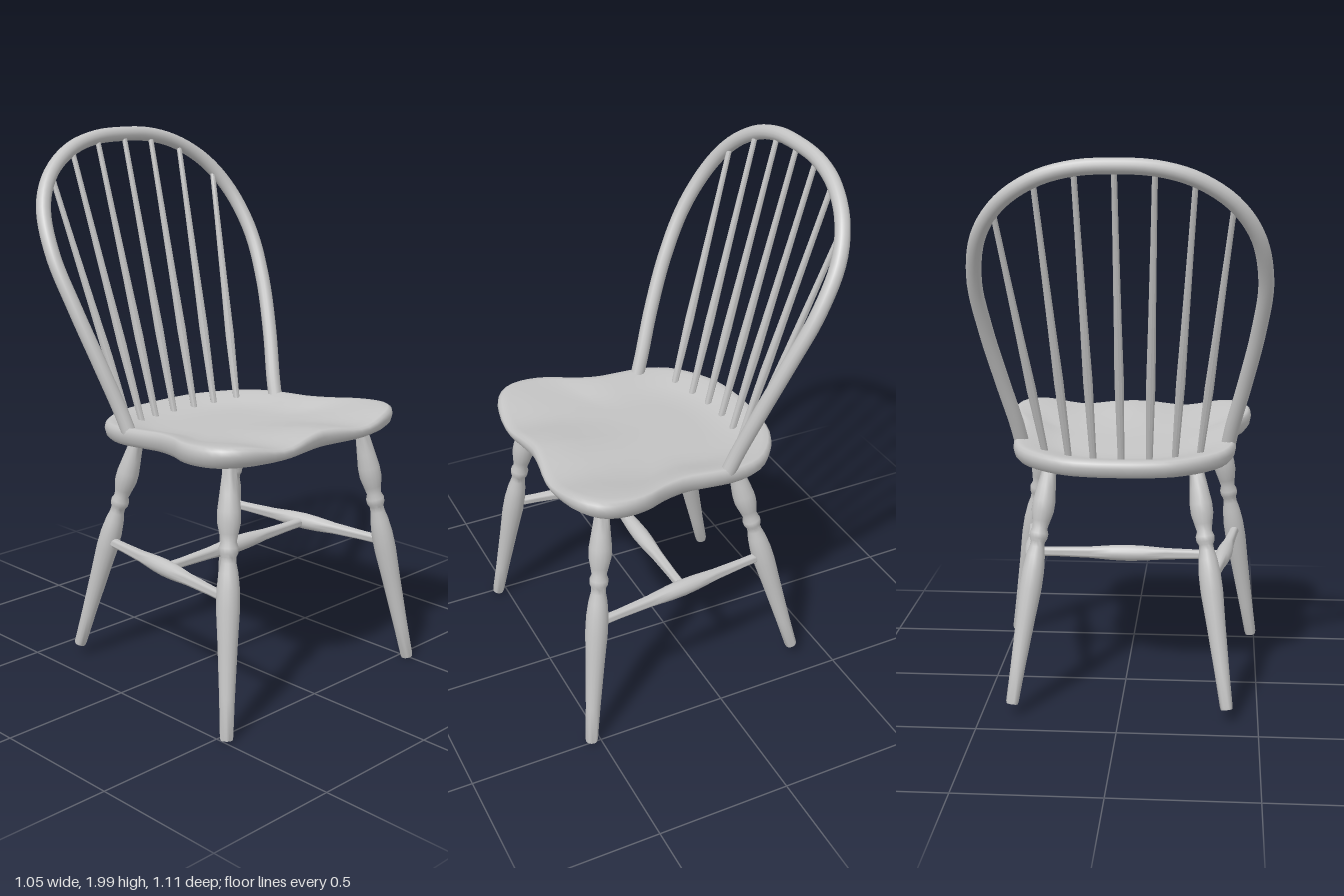
import * as THREE from 'three';
import { toCreasedNormals } from 'three/addons/utils/BufferGeometryUtils.js';

const wood = new THREE.MeshStandardMaterial({ color: 0xc4c4c4 });
wood.name = 'paintedWood';

const V = (x, y, z) => new THREE.Vector3(x, y, z);
const smooth = THREE.MathUtils.smoothstep;
const UP = V(0, 1, 0);

// Turned part between two points; profile holds [fraction along, radius]
function turned(name, from, to, profile, sides = 16) {
  const dir = to.clone().sub(from);
  const len = dir.length();
  const pts = profile.map(([t, r]) => new THREE.Vector2(r, t * len));
  pts.unshift(new THREE.Vector2(0, 0));
  pts.push(new THREE.Vector2(0, len));
  const mesh = new THREE.Mesh(toCreasedNormals(new THREE.LatheGeometry(pts, sides), 0.9), wood);
  mesh.quaternion.setFromUnitVectors(UP, dir.normalize());
  mesh.position.copy(from);
  mesh.name = name;
  return mesh;
}

// Half of the shield-shaped seat outline, back centre to front centre: [x, z]
const HALF = [
  [0, -0.37], [0.1, -0.366], [0.2, -0.347], [0.3, -0.29], [0.375, -0.21], [0.407, -0.11],
  [0.406, 0], [0.402, 0.1], [0.425, 0.2], [0.458, 0.28], [0.47, 0.37], [0.452, 0.45],
  [0.39, 0.51], [0.29, 0.54], [0.18, 0.547], [0.08, 0.533], [0, 0.524],
];

// Saddle surface: raised rim, dished middle, two thigh hollows and a pommel at the front
function seatTop(x, z, s) {
  const front = smooth(z, 0.1, 0.5);
  const hollow = 0.038 * Math.exp(-(((Math.abs(x) - 0.2) / 0.13) ** 2)) + 0.012 * Math.exp(-((x / 0.1) ** 2));
  const dish = 0.04 * (1 - smooth(s, 0.55, 1));
  return 0.983 + 0.078 * z - THREE.MathUtils.lerp(dish, hollow, front);
}

function seat() {
  const outline = HALF.concat(HALF.slice(1, -1).reverse().map(([x, z]) => [-x, z]));
  const curve = new THREE.CatmullRomCurve3(outline.map(([x, z]) => V(x, 0, z)), true);
  const n = 80, zc = 0.06;
  const edge = curve.getPoints(n).slice(0, n);
  // [scale of outline, height between underside 0 and top 1]
  const rings = [[0, 1], [0.15, 1], [0.3, 1], [0.45, 1], [0.6, 1], [0.72, 1], [0.83, 1], [0.92, 1], [0.97, 0.98],
    [0.992, 0.86], [1, 0.62], [0.988, 0.3], [0.955, 0.08], [0.9, 0], [0.6, 0], [0.3, 0], [0, 0]];
  const pos = [], idx = [];
  for (const [s, h] of rings) {
    for (const p of edge) {
      const x = p.x * s, z = zc + (p.z - zc) * s;
      const top = seatTop(x, z, s);
      const bottom = Math.min(0.908 + 0.06 * z, top - 0.03);
      pos.push(x, THREE.MathUtils.lerp(bottom, top, h), z);
    }
  }
  for (let i = 0; i < rings.length - 1; i++) {
    for (let j = 0; j < n; j++) {
      const k = (j + 1) % n;
      const a = i * n + j, b = i * n + k, c = a + n, d = b + n;
      idx.push(a, b, c, c, b, d);
    }
  }
  const geo = new THREE.BufferGeometry();
  geo.setAttribute('position', new THREE.Float32BufferAttribute(pos, 3));
  geo.setIndex(idx);
  geo.computeVertexNormals();
  const mesh = new THREE.Mesh(geo, wood);
  mesh.name = 'seat';
  return mesh;
}

// Steam-bent hoop of the back, leaning backwards
function bow() {
  const half = [
    [0.38, 0.95, -0.068], [0.395, 1.03, -0.096], [0.437, 1.2, -0.157], [0.48, 1.4, -0.24], [0.5, 1.58, -0.33],
    [0.468, 1.74, -0.418], [0.39, 1.85, -0.472], [0.27, 1.928, -0.508], [0.14, 1.965, -0.524],
  ];
  const pts = half.map(p => V(...p)).concat([V(0, 1.973, -0.528)],
    half.slice().reverse().map(([x, y, z]) => V(-x, y, z)));
  const mesh = new THREE.Mesh(new THREE.TubeGeometry(new THREE.CatmullRomCurve3(pts), 90, 0.027, 14), wood);
  mesh.name = 'bow';
  return mesh;
}

const LEG = [[0, 0.021], [0.01, 0.023], [0.15, 0.027], [0.35, 0.035], [0.47, 0.041], [0.54, 0.04], [0.6, 0.034],
  [0.635, 0.027], [0.655, 0.026], [0.67, 0.033], [0.69, 0.034], [0.71, 0.027], [0.74, 0.033], [0.78, 0.041],
  [0.82, 0.041], [0.88, 0.034], [0.95, 0.026], [1, 0.025]];
const STRETCHER = [[0, 0.018], [0.12, 0.018], [0.3, 0.022], [0.42, 0.029], [0.5, 0.031], [0.58, 0.029],
  [0.7, 0.022], [0.88, 0.018], [1, 0.018]];
const SPINDLE = [[0, 0.012], [0.12, 0.014], [0.3, 0.017], [0.5, 0.014], [0.8, 0.011], [1, 0.01]];

export function createModel() {
  const chair = new THREE.Group();
  chair.name = 'chair';
  chair.add(seat(), bow());

  // Splayed legs and side stretchers
  for (const [side, label] of [[1, 'left'], [-1, 'right']]) {
    chair.add(
      turned(label + 'FrontLeg', V(side * 0.491 + 0.004, 0.01, 0.535), V(side * 0.34, 0.945, 0.4), LEG),
      turned(label + 'RearLeg', V(side * 0.388, 0.05, -0.372), V(side * 0.262, 0.92, -0.15), LEG),
      turned(label + 'SideStretcher', V(side * 0.415, 0.485, 0.46), V(side * 0.325, 0.485, -0.255), STRETCHER),
    );
  }
  chair.add(turned('centreStretcher', V(-0.37, 0.483, 0.1), V(0.37, 0.483, 0.1), STRETCHER));

  // Fanned back spindles: foot x, foot z, head x, head y, head z
  const spindles = [
    [-0.277, -0.178, -0.388, 1.845, -0.468], [-0.19, -0.213, -0.262, 1.925, -0.503],
    [-0.1, -0.236, -0.13, 1.955, -0.515], [0, -0.243, 0.003, 1.965, -0.518], [0.1, -0.236, 0.135, 1.955, -0.515],
    [0.19, -0.218, 0.27, 1.92, -0.5], [0.277, -0.178, 0.41, 1.815, -0.455],
  ];
  for (const [fx, fz, hx, hy, hz] of spindles) {
    chair.add(turned('spindle', V(fx, 0.92, fz), V(hx, hy, hz), SPINDLE, 10));
  }
  return chair;
}
